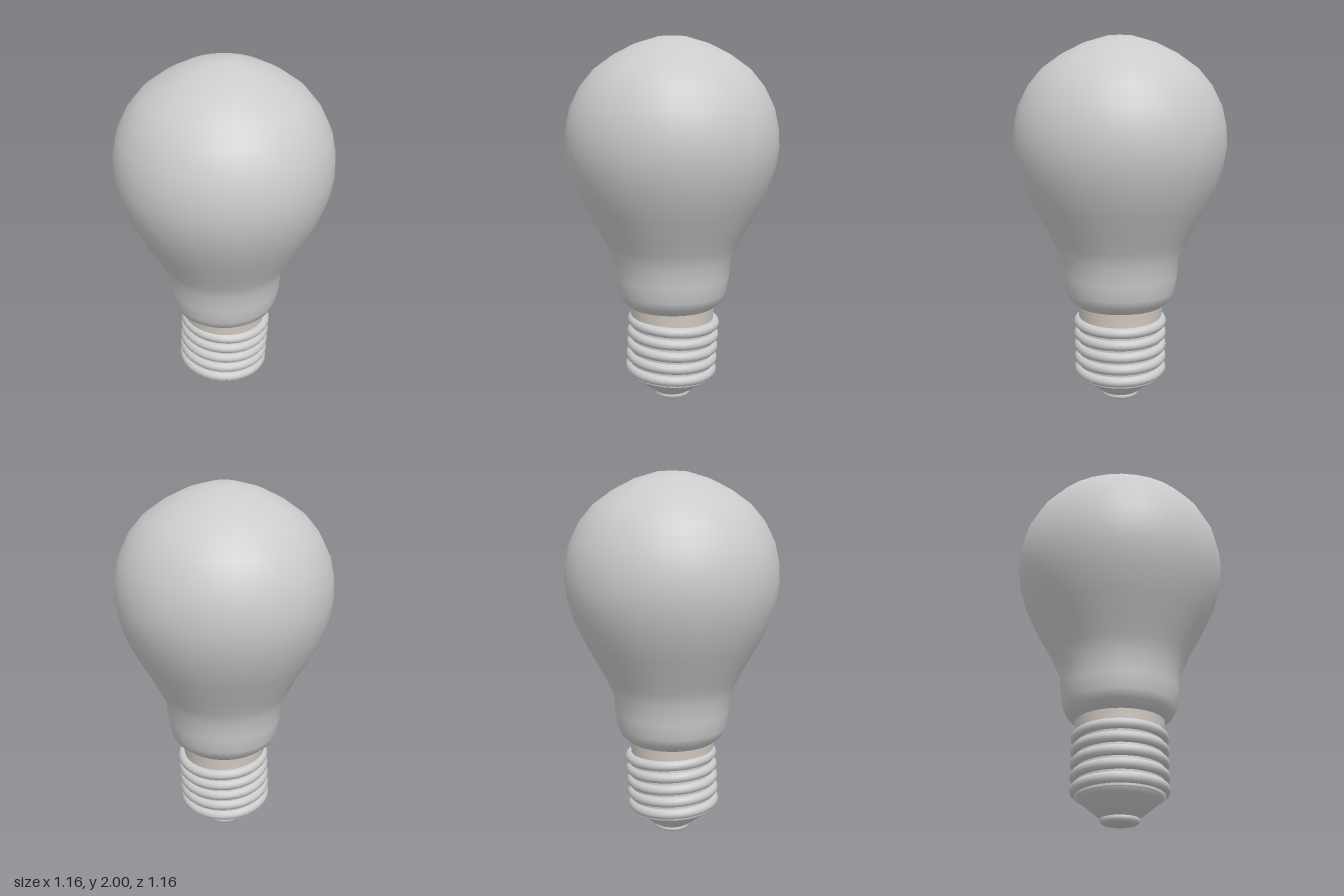
import * as THREE from 'three';

const SEGMENTS = 32;

export function createModel() {
  const bulb = new THREE.Group();
  bulb.name = 'lightBulb';
  const grey = new THREE.MeshStandardMaterial({ color: 0xcccccc, side: THREE.DoubleSide });
  const warm = new THREE.MeshStandardMaterial({ color: 0xd6cec6, side: THREE.DoubleSide });

  // Turned part from [radius, height] pairs, listed bottom to top
  const turned = (name, profile, material = grey, parent = bulb) => {
    const points = profile.map(([r, y]) => new THREE.Vector2(r, y));
    const mesh = new THREE.Mesh(new THREE.LatheGeometry(points, SEGMENTS), material);
    mesh.name = name;
    parent.add(mesh);
    return mesh;
  };

  // Glass envelope: rounded shoulder, narrow neck and round globe
  turned('glassBulb', [
    [0.225, 0.53], [0.24, 0.532], [0.285, 0.57], [0.305, 0.615], [0.318, 0.7], [0.325, 0.8],
    [0.363, 0.88], [0.4, 0.955], [0.47, 1.08], [0.53, 1.205], [0.565, 1.32],
    [0.579, 1.42], [0.574, 1.52], [0.55, 1.63], [0.495, 1.74], [0.42, 1.83],
    [0.315, 1.905], [0.2, 1.963], [0.075, 2.0], [0, 2.0],
  ]);

  // Plain metal collar under the glass
  turned('collar', [[0.228, 0.4], [0.23, 0.46], [0.24, 0.54]], warm);

  // Screw thread: five slightly tilted ridges around a sleeve
  const thread = new THREE.Group();
  thread.name = 'screwThread';
  thread.position.y = 0.304;
  thread.rotation.z = -0.058;
  bulb.add(thread);
  turned('threadSleeve', [[0.215, -0.178], [0.233, -0.175], [0.233, 0.15], [0.2, 0.152]], grey, thread);
  for (let i = 0; i < 5; i++) {
    const ridge = new THREE.Mesh(new THREE.TorusGeometry(0.23, 0.029, 12, SEGMENTS), grey);
    ridge.name = 'threadRidge' + (i + 1);
    ridge.rotation.x = Math.PI / 2;
    ridge.position.y = (i - 2) * 0.069;
    thread.add(ridge);
  }

  // Insulator cone below the thread
  turned('insulator', [[0.095, 0.028], [0.125, 0.048], [0.17, 0.085], [0.212, 0.118], [0.222, 0.14]]);

  // End contact button
  turned('contactRim', [[0.085, 0], [0.098, 0.008], [0.102, 0.022], [0.096, 0.034]]);
  const face = new THREE.Mesh(new THREE.CircleGeometry(0.085, SEGMENTS), grey);
  face.name = 'contactFace';
  face.rotation.x = Math.PI / 2;
  bulb.add(face);

  return bulb;
}
